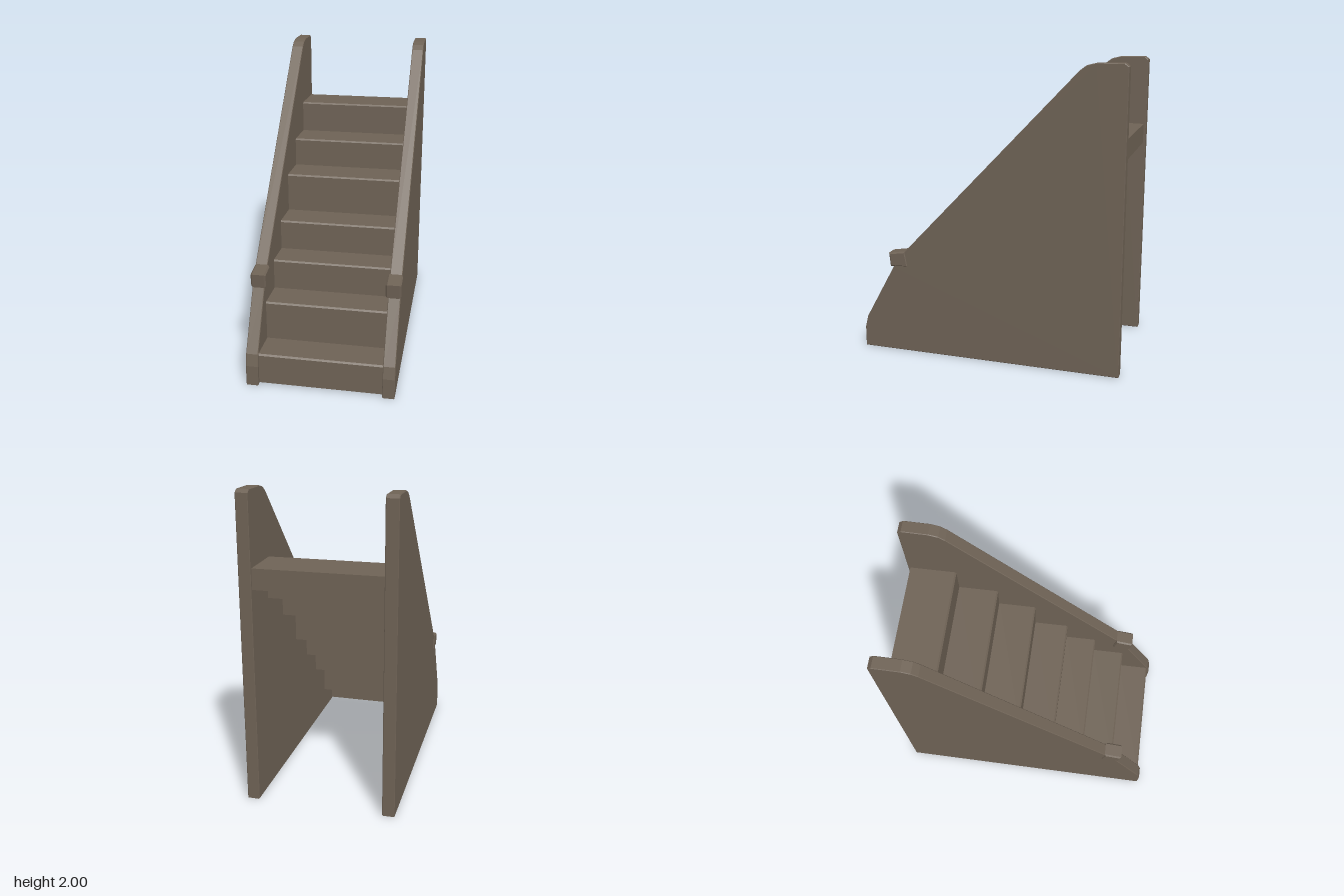
import * as THREE from 'three';

// Extrude a (z, y) side profile across x, centred on centreX
function sideExtrude(points, width, centreX, bevel = 0) {
  const shape = new THREE.Shape(points.map(([z, y]) => new THREE.Vector2(z, y)));
  const geometry = new THREE.ExtrudeGeometry(shape, {
    depth: width - 2 * bevel,
    bevelEnabled: bevel > 0,
    bevelThickness: bevel,
    bevelSize: bevel,
    bevelOffset: -bevel,
    bevelSegments: 1,
  });
  geometry.translate(0, 0, -(width - 2 * bevel) / 2);
  geometry.rotateY(-Math.PI / 2);
  geometry.translate(centreX, 0, 0);
  return geometry;
}

export function createModel() {
  const model = new THREE.Group();
  model.name = 'staircase';
  const wood = new THREE.MeshStandardMaterial({ color: 0x6e6255 });
  wood.name = 'weathered wood';

  const add = (name, geometry) => {
    const mesh = new THREE.Mesh(geometry, wood);
    mesh.name = name;
    model.add(mesh);
  };

  // Sloping side walls with a clipped top and a steeper foot
  const wall = [
    [-0.895, 0], [0.9, 0], [0.9, 0.14], [0.88, 0.22], [0.67, 0.6],
    [0.58, 0.72], [-0.6, 1.955], [-0.64, 1.985], [-0.7, 2], [-0.87, 2], [-0.895, 1.98],
  ];
  // Blocks wrapped over the bend of each wall
  const block = [[0.56, 0.61], [0.69, 0.605], [0.7, 0.7], [0.58, 0.72]];
  for (const [side, sign] of [['left', 1], ['right', -1]]) {
    add(`${side}Wall`, sideExtrude(wall, 0.08, sign * 0.446, 0.004));
    add(`${side}Block`, sideExtrude(block, 0.1, sign * 0.441, 0.01));
  }

  // Folded flight of steps with softened edges, open underneath
  const risers = [0.875, 0.65, 0.42, 0.2, -0.04, -0.3, -0.57];
  const treads = [0.22, 0.48, 0.68, 0.88, 1.14, 1.33, 1.54];
  const back = -0.88, thick = 0.05, chamfer = 0.01;
  const flight = [[risers[0], 0.01]];
  risers.forEach((z, i) => {
    flight.push(
      [z, treads[i] - chamfer],
      [z - chamfer, treads[i]],
      [risers[i + 1] ?? back, treads[i] - 0.008],
    );
  });
  // Thicker landing at the back, then the underside returning to the floor
  flight.push([back, 1.4], [risers[6] - thick, 1.4]);
  for (let i = 6; i >= 0; i--) {
    if (i < 6) flight.push([risers[i] - thick, treads[i] - thick]);
    flight.push([risers[i] - thick, i ? treads[i - 1] - thick : 0.01]);
  }
  add('steps', sideExtrude(flight, 0.83, 0));

  return model;
}
